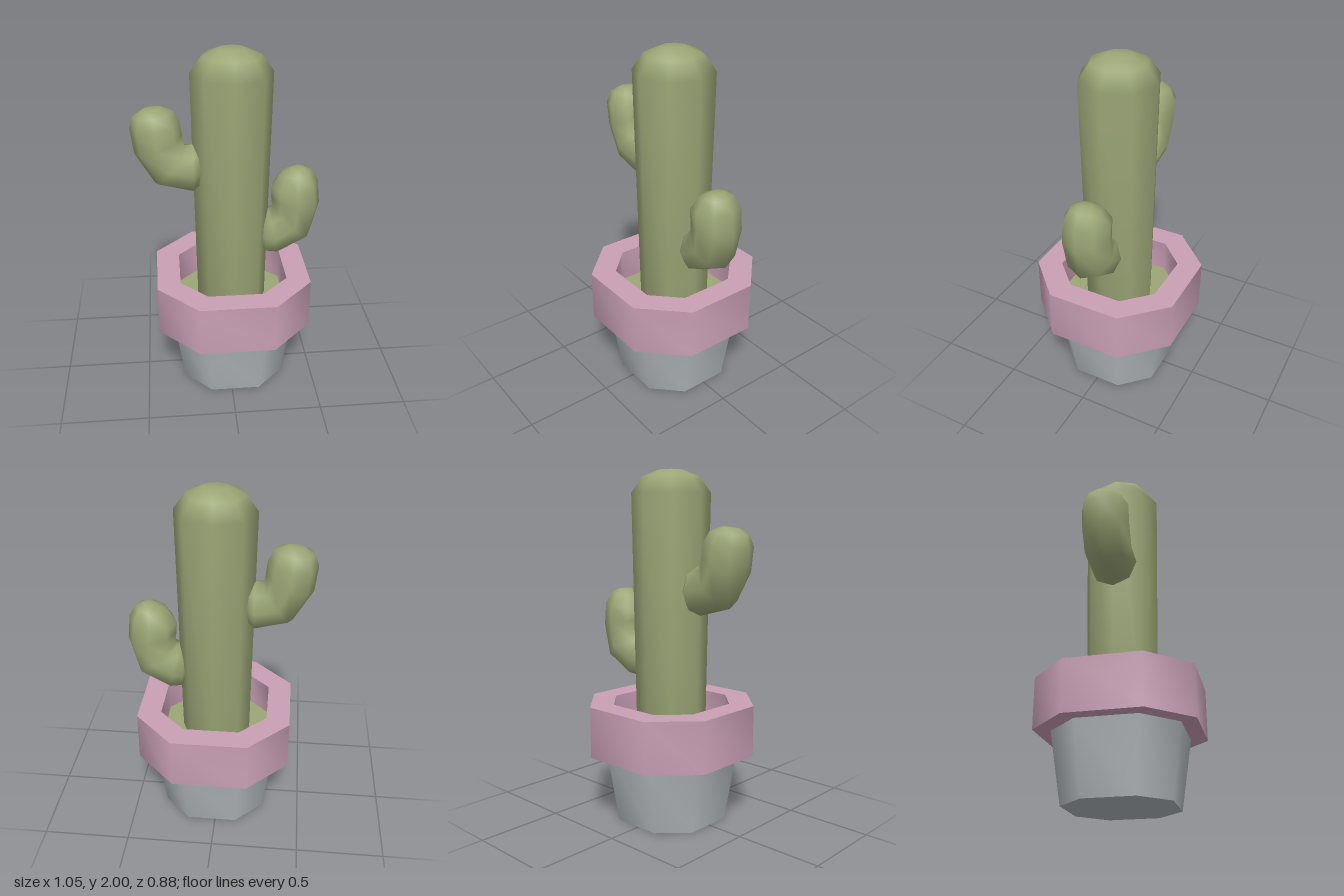
import * as THREE from 'three';
import { mergeVertices, mergeGeometries } from 'three/addons/utils/BufferGeometryUtils.js';

const SIDES = 8;
const CX = 0.02; // pot and trunk axis

// Smooth skin through a list of eight-point rings
function loft(rings) {
  const pos = [], index = [];
  rings.forEach(r => r.forEach(p => pos.push(...p)));
  for (let i = 0; i < rings.length - 1; i++) {
    for (let j = 0; j < SIDES; j++) {
      const k = (j + 1) % SIDES;
      const a = i * SIDES + j, b = a + SIDES, c = (i + 1) * SIDES + k, d = i * SIDES + k;
      index.push(a, b, c, a, c, d);
    }
  }
  const g = new THREE.BufferGeometry();
  g.setAttribute('position', new THREE.Float32BufferAttribute(pos, 3));
  g.setIndex(index);
  const merged = mergeVertices(g, 1e-5);
  merged.computeVertexNormals();
  return merged;
}

// Octagon with flats on the axes: a = half width, h = half length of a flat
const octagon = ([a, h, y]) =>
  [[a, h], [h, a], [-h, a], [-a, h], [-a, -h], [-h, -a], [h, -a], [a, -h]]
    .map(([x, z]) => [CX + x, y, z]);

// Each step of the profile is its own band, so the rims stay sharp
const bands = profile => mergeGeometries(
  profile.slice(1).map((p, i) => loft([octagon(profile[i]), octagon(p)])));

// Ring spanned by two points in the xy plane and a half depth in z
const ring = ([x0, y0, x1, y1, depth]) =>
  Array.from({ length: SIDES }, (_, j) => {
    const t = j / SIDES * Math.PI * 2, c = Math.cos(t) / 2;
    return [(x0 + x1) / 2 + c * (x1 - x0), (y0 + y1) / 2 + c * (y1 - y0), Math.sin(t) * depth];
  });

// Closed limb: rings plus a pole at each end
function limb(sections) {
  const pole = ([x0, y0, x1, y1]) => {
    const x = (x0 + x1) / 2, y = (y0 + y1) / 2;
    return ring([x, y, x, y, 0]);
  };
  return loft([pole(sections[0]), ...sections.map(ring), pole(sections[sections.length - 1])]);
}

export function createModel() {
  const model = new THREE.Group();
  model.name = 'pottedCactus';

  const material = (name, color) => {
    const m = new THREE.MeshStandardMaterial({ color });
    m.name = name;
    return m;
  };
  const green = material('cactusGreen', 0x9ba676);
  const pink = material('rimPink', 0xc9a0b5);
  const grey = material('potGrey', 0xb0b6b9);

  const add = (name, geometry, mat) => {
    const mesh = new THREE.Mesh(geometry, mat);
    mesh.name = name;
    model.add(mesh);
  };

  // Pot body and its overhanging collar
  add('potBody', bands([[0, 0, 0], [0.295, 0.142, 0], [0.352, 0.17, 0.4]]), grey);
  add('potRim', bands([
    [0.345, 0.167, 0.395], [0.44, 0.212, 0.395], [0.44, 0.212, 0.69],
    [0.307, 0.157, 0.69], [0.307, 0.157, 0.49]
  ]), pink);
  add('soil', bands([[0.307, 0.157, 0.5], [0, 0, 0.5]]), green);

  // Trunk, widening slightly to a faceted dome
  const trunk = [[0.2, 0.49], [0.222, 1.875], [0.158, 1.965], [0.07, 2]];
  add('trunk', limb(trunk.map(([r, y]) => [CX - r, y, CX + r, y, r])), green);

  // Arms, from the trunk end round the elbow to the tip
  add('leftArm', limb([
    [0.18, 0.97, 0.182, 0.88, 0.05],
    [0.2, 1.03, 0.212, 0.795, 0.1],
    [0.23, 1.065, 0.285, 0.795, 0.135],
    [0.255, 1.075, 0.475, 0.9, 0.135],
    [0.247, 1.14, 0.525, 1.1, 0.135],
    [0.242, 1.2, 0.51, 1.24, 0.135],
    [0.295, 1.285, 0.47, 1.305, 0.09],
    [0.36, 1.318, 0.43, 1.32, 0.04]
  ]), green);
  add('rightArm', limb([
    [-0.142, 1.32, -0.142, 1.4, 0.05],
    [-0.165, 1.23, -0.153, 1.455, 0.1],
    [-0.2, 1.205, -0.19, 1.482, 0.135],
    [-0.405, 1.26, -0.238, 1.475, 0.135],
    [-0.51, 1.44, -0.248, 1.54, 0.135],
    [-0.527, 1.585, -0.257, 1.61, 0.135],
    [-0.508, 1.65, -0.292, 1.675, 0.1],
    [-0.455, 1.682, -0.355, 1.695, 0.045]
  ]), green);

  return model;
}
